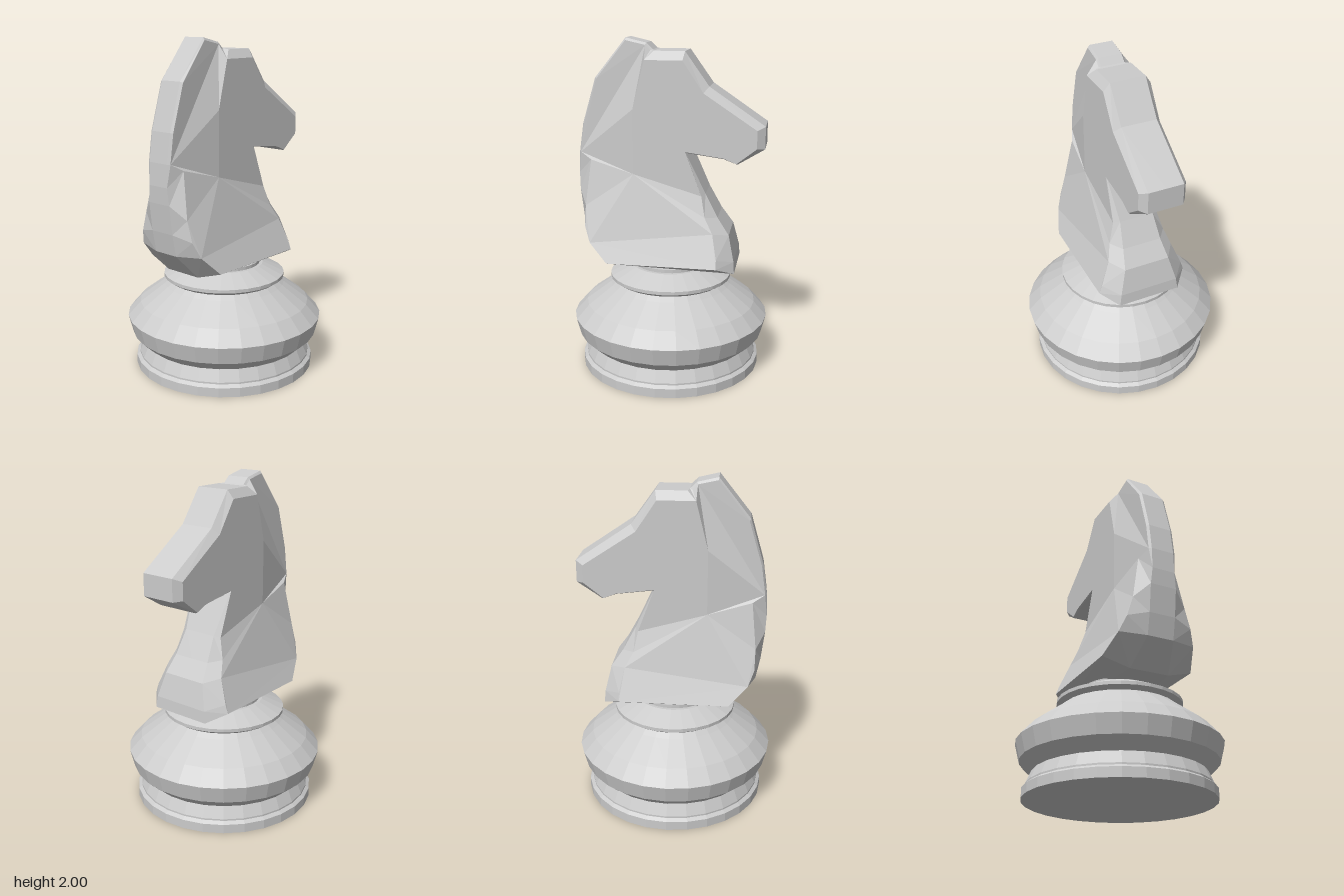
import * as THREE from 'three';

const material = new THREE.MeshStandardMaterial({ color: 0xcccccc, flatShading: true, side: THREE.DoubleSide });

// Each row: rim x, y, half-width, then side-panel edge x, y, z (clockwise from the rear foot).
const back = [
  [-0.36, 0.65, 0.12, -0.34, 0.70, 0.28],
  [-0.495, 0.80, 0.08, -0.45, 0.81, 0.235],
  [-0.52, 0.93, 0.08, -0.485, 0.90, 0.20],
  [-0.54, 1.10, 0.08, -0.487, 1.02, 0.165],
  [-0.545, 1.20, 0.07, -0.46, 1.29, 0.115],
];
const mane = [
  [-0.54, 1.33, 0.07, -0.53, 1.33, 0.085],
  [-0.515, 1.50, 0.07, -0.505, 1.50, 0.085],
  [-0.435, 1.77, 0.07, -0.425, 1.765, 0.085],
  [-0.25, 2.00, 0.07, -0.25, 1.985, 0.08],
  [-0.13, 1.972, 0.07, -0.135, 1.96, 0.08],
  [-0.09, 1.935, 0.07, -0.105, 1.93, 0.08],
];
const head = [
  [-0.08, 1.93, 0.105, -0.13, 1.88, 0.14],
  [0.10, 1.93, 0.105, 0.09, 1.88, 0.14],
  [0.24, 1.735, 0.105, 0.21, 1.70, 0.14],
  [0.565, 1.515, 0.105, 0.52, 1.495, 0.14],
  [0.565, 1.385, 0.105, 0.52, 1.39, 0.14],
  [0.41, 1.295, 0.13, 0.405, 1.30, 0.14],
  [0.33, 1.325, 0.13, 0.33, 1.33, 0.14],
  [0.11, 1.355, 0.135, 0.108, 1.36, 0.14],
];
const chest = [
  [0.225, 1.11, 0.105, 0.205, 1.10, 0.14],
  [0.30, 0.97, 0.12, 0.23, 0.98, 0.175],
  [0.37, 0.87, 0.14, 0.28, 0.89, 0.205],
  [0.405, 0.72, 0.18, 0.31, 0.75, 0.262],
  [0.41, 0.65, 0.19, 0.31, 0.70, 0.28],
];

function horseGeometry() {
  const rows = [...back, ...mane, ...head, ...chest];
  const rim = rows.map(r => r.slice(0, 3));
  const edge = rows.map(r => r.slice(3));
  const positions = [];
  const flip = p => [p[0], p[1], -p[2]];
  const centre = p => [p[0], p[1], 0];

  // A triangle together with its mirror image across z = 0
  const tri = (a, b, c) => positions.push(...a, ...b, ...c, ...flip(a), ...flip(c), ...flip(b));
  const quad = (a, b, c, d) => { tri(a, b, c); tri(a, c, d); };

  // Outer rim and the bevel leading to the side panels
  rim.forEach((a, i) => {
    const j = (i + 1) % rim.length;
    quad(a, rim[j], centre(rim[j]), centre(a));
    quad(a, edge[i], edge[j], rim[j]);
  });

  // Side panels: mane taper, flat head, flared chest
  const panel = points => {
    const flat = points.map(p => new THREE.Vector2(p[0], p[1]));
    for (const [a, b, c] of THREE.ShapeUtils.triangulateShape(flat, [])) {
      const ccw = THREE.ShapeUtils.area([flat[a], flat[b], flat[c]]) > 0;
      if (ccw) tri(points[a], points[b], points[c]);
      else tri(points[a], points[c], points[b]);
    }
  };
  const crease = [-0.2, 1.217, 0.14];
  const cheek = [-0.2, 1.6, 0.14];
  const maneEnd = back.length + mane.length;
  const chestStart = maneEnd + head.length;
  panel([...edge.slice(back.length - 1, maneEnd + 1), cheek, crease]);
  panel([...edge.slice(maneEnd, chestStart + 1), crease, cheek]);
  panel([...edge.slice(chestStart), ...edge.slice(0, back.length), crease]);

  const geometry = new THREE.BufferGeometry();
  geometry.setAttribute('position', new THREE.Float32BufferAttribute(positions, 3));
  geometry.computeVertexNormals();
  return geometry;
}

export function createModel() {
  const group = new THREE.Group();
  group.name = 'knightPiece';

  // Turned pedestal
  const profile = [
    [0, 0], [0.55, 0], [0.55, 0.055], [0.53, 0.07], [0.53, 0.08], [0.5, 0.15],
    [0.57, 0.215], [0.597, 0.32], [0.52, 0.405], [0.37, 0.515], [0.34, 0.54],
    [0.37, 0.56], [0.37, 0.58], [0.24, 0.64], [0, 0.64],
  ].map(([r, y]) => new THREE.Vector2(r, y));
  const pedestal = new THREE.Mesh(new THREE.LatheGeometry(profile, 28), material);
  pedestal.name = 'pedestal';

  // Short neck joining pedestal and horse
  const collar = new THREE.Mesh(new THREE.CylinderGeometry(0.22, 0.22, 0.04, 28), material);
  collar.name = 'collar';
  collar.position.y = 0.64;

  const horse = new THREE.Mesh(horseGeometry(), material);
  horse.name = 'horseHead';

  group.add(pedestal, collar, horse);
  return group;
}
